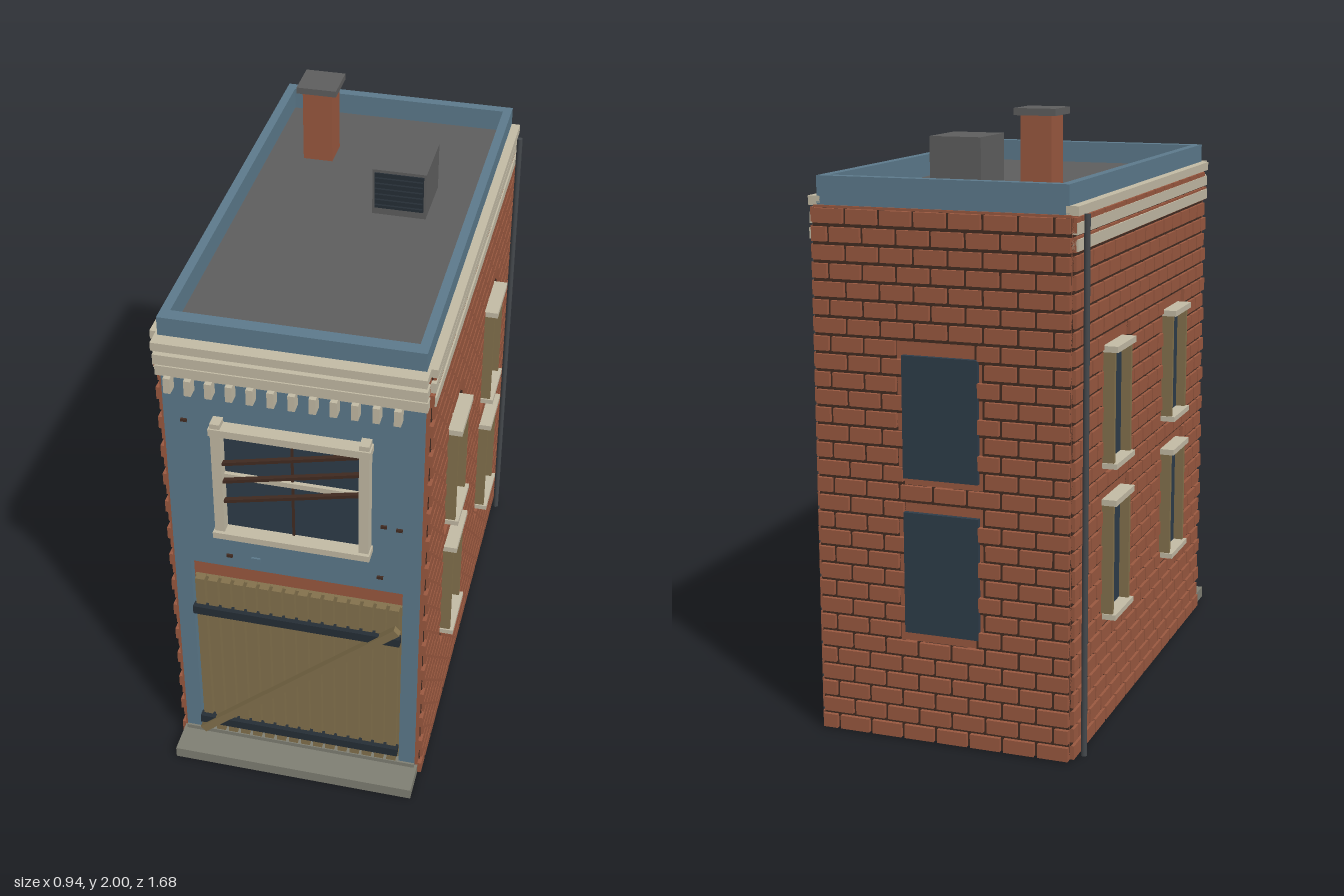
import * as THREE from 'three';
import { mergeGeometries } from 'three/addons/utils/BufferGeometryUtils.js';

const GAP = 0.012;

const mat = (name, color) => {
  const m = new THREE.MeshStandardMaterial({ color });
  m.name = name;
  return m;
};

// Box given by its min and max on each axis
function boxGeo(x0, x1, y0, y1, z0, z1) {
  return new THREE.BoxGeometry(x1 - x0, y1 - y0, z1 - z0)
    .translate((x0 + x1) / 2, (y0 + y1) / 2, (z0 + z1) / 2);
}

// Flat bar on the facade running between two points
function barGeo(xa, ya, xb, yb, width, z0, z1) {
  return new THREE.BoxGeometry(Math.hypot(xb - xa, yb - ya), width, z1 - z0)
    .rotateZ(Math.atan2(yb - ya, xb - xa))
    .translate((xa + xb) / 2, (ya + yb) / 2, (z0 + z1) / 2);
}

// Brick rectangles [u0, u1, y0, y1] in running bond, kept clear of the openings
function brickCourses(uMin, uMax, openings, pads) {
  const pitch = 0.057, length = 0.113, out = [];
  for (let row = 0; row < 30; row++) {
    const y0 = row * pitch + 0.004, y1 = y0 + pitch - GAP;
    const pad = pads[row % 2];
    const blocked = openings.filter(o => y1 > o[2] - 0.01 && y0 < o[3] + 0.01);
    for (let u = uMin - (row % 2) * length / 2; u < uMax; u += length) {
      let a = Math.max(u, uMin), b = Math.min(u + length - GAP, uMax);
      for (const o of blocked) {
        const lo = o[0] - pad, hi = o[1] + pad;
        if (a >= lo && b <= hi) b = a;
        else if (a < lo && b > lo) b = lo;
        else if (a < hi && b > hi) a = hi;
      }
      if (b - a > 0.025) out.push([a, b, y0, y1]);
    }
  }
  return out;
}

// Mortar behind each brick, reaching over the joints beside and below it
const mortarBeds = (bricks, uMax) => bricks.map(([a, b, y0, y1]) =>
  [a, Math.min(b + GAP, uMax), Math.max(y0 - GAP, 0.004), y1]);

export function createModel() {
  const model = new THREE.Group();
  model.name = 'building';
  const brick = mat('brick red', 0x9b5940);
  const blue = mat('painted blue', 0x5d7b8d);
  const trim = mat('stone trim', 0xc4bca6);
  const glass = mat('window glass', 0x2e3d4a);
  const wood = mat('weathered wood', 0x84724d);
  const iron = mat('dark iron', 0x262e36);
  const roofing = mat('roof grey', 0x5f5f5f);
  const stone = mat('step stone', 0x808074);
  const pipe = mat('pipe grey', 0x45494d);
  const dark = mat('dark brown', 0x432c22);

  const add = (name, material, ...geos) => {
    const mesh = new THREE.Mesh(geos.length > 1 ? mergeGeometries(geos) : geos[0], material);
    mesh.name = name;
    model.add(mesh);
  };

  // Core walls and floor slab
  add('walls', brick, boxGeo(-0.42, 0.42, 0.004, 1.71, -0.822, 0.70));
  add('floorSlab', stone, boxGeo(-0.41, 0.41, 0, 0.004, -0.81, 0.72));

  // Side and back brickwork
  const zRanges = [[0.185, 0.383], [-0.505, -0.307]];
  const yRanges = [[0.365, 0.76], [0.87, 1.26]];
  const sideOpenings = zRanges.flatMap(z => yRanges.map(y => [...z, ...y]));
  const backOpenings = yRanges.map(y => [-0.125, 0.125, ...y]);
  const sideBricks = brickCourses(-0.815, 0.72, sideOpenings, [0.03, 0.06]);
  const backBricks = brickCourses(-0.42, 0.42, backOpenings, [0, 0]);
  for (const s of [-1, 1]) {
    const layer = (list, depth) => list.map(([a, b, y0, y1]) =>
      boxGeo(s * (0.41 + depth / 2) - depth / 2, s * (0.41 + depth / 2) + depth / 2, y0, y1, a, b));
    add(s > 0 ? 'leftBricks' : 'rightBricks', brick, ...layer(sideBricks, 0.023));
    add('sideMortar', dark, ...layer(mortarBeds(sideBricks, 0.70), 0.013));
    add('frontCorner', brick, boxGeo(s * 0.414 - 0.006, s * 0.414 + 0.006, 0.004, 1.71, 0.69, 0.72));
  }
  add('backBricks', brick, ...backBricks.map(([a, b, y0, y1]) => boxGeo(a, b, y0, y1, -0.84, -0.81)));
  add('backMortar', dark, ...mortarBeds(backBricks, 0.42)
    .map(([a, b, y0, y1]) => boxGeo(a, b, y0, y1, -0.826, -0.81)));
  for (const [y0, y1] of yRanges)
    add('backWindow', glass, boxGeo(-0.125, 0.125, y0, y1, -0.838, -0.815));

  // Side windows with jambs, lintels and sills
  for (const s of [-1, 1]) for (const [z0, z1] of zRanges) for (const [y0, y1] of yRanges) {
    const slab = (a, b, ...rest) => boxGeo(Math.min(s * a, s * b), Math.max(s * a, s * b), ...rest);
    add('sideGlass', glass, slab(0.41, 0.426, y0, y1, z0 + 0.012, z1 - 0.012));
    add('sideJambs', wood,
      slab(0.41, 0.458, y0, y1, z0 + 0.002, z0 + 0.018),
      slab(0.41, 0.458, y0, y1, z1 - 0.018, z1 - 0.002));
    add('sideLintelAndSill', trim,
      slab(0.41, 0.47, y1 - 0.015, y1 + 0.005, z0 - 0.003, z1 + 0.003),
      slab(0.41, 0.47, y0 - 0.003, y0 + 0.015, z0 - 0.003, z1 + 0.003));
  }

  // Blue front facade around the gate opening
  add('facade', blue,
    boxGeo(-0.41, -0.355, 0.04, 0.845, 0.69, 0.73),
    boxGeo(0.355, 0.41, 0.04, 0.845, 0.69, 0.73),
    boxGeo(-0.41, 0.41, 0.845, 1.735, 0.69, 0.73));
  add('facadeChips', dark, ...[[-0.345, 1.43], [0.29, 1.12], [0.34, 1.115], [-0.22, 0.895],
    [0.28, 0.905]].map(([x, y]) => boxGeo(x - 0.01, x + 0.01, y - 0.005, y + 0.005, 0.73, 0.737)));
  add('facadePatch', blue, boxGeo(-0.146, -0.116, 0.888, 0.902, 0.73, 0.737));

  // Plank gate with iron straps and diagonal brace
  const planks = [];
  for (let i = 0; i < 16; i++) {
    const x = -0.35 + i * 0.04375;
    planks.push(boxGeo(x + 0.006, x + 0.038, 0.058, 0.77, 0.705, 0.735));
  }
  add('gatePlanks', wood, ...planks);
  add('gateBacking', wood, boxGeo(-0.35, 0.35, 0.058, 0.767, 0.69, 0.712));
  add('gateStraps', iron, boxGeo(-0.352, 0.352, 0.626, 0.658, 0.725, 0.752),
    boxGeo(-0.352, 0.352, 0.1, 0.132, 0.725, 0.752));
  add('gateBrace', wood, barGeo(-0.343, 0.072, 0.343, 0.695, 0.028, 0.735, 0.76));

  // Front window
  add('frontGlass', glass, boxGeo(-0.225, 0.225, 1.02, 1.43, 0.728, 0.736));
  add('frontWindowFrame', trim,
    boxGeo(-0.25, -0.218, 1.0, 1.46, 0.73, 0.773),
    boxGeo(0.218, 0.25, 1.0, 1.46, 0.73, 0.773),
    boxGeo(-0.255, 0.255, 1.417, 1.443, 0.73, 0.778),
    boxGeo(-0.255, 0.255, 1.01, 1.033, 0.73, 0.785),
    boxGeo(-0.22, 0.22, 1.235, 1.253, 0.73, 0.75));
  add('frontMullion', dark, boxGeo(-0.004, 0.004, 1.033, 1.417, 0.73, 0.742));
  add('windowBoards', dark, ...[1.3, 1.23, 1.15].map(y =>
    barGeo(-0.23, y, 0.225, y + 0.11, 0.011, 0.752, 0.768)));

  // Stepped cornice with dentils
  const bands = [[1.708, 1.737, 0.44, 0.775], [1.652, 1.687, 0.436, 0.765], [1.603, 1.638, 0.438, 0.752]];
  for (const [y0, y1, x, z] of bands)
    add('corniceBand', trim,
      boxGeo(-0.42, 0.42, y0, y1, 0.70, z),
      boxGeo(-x, -0.40, y0, y1, -0.815, 0.715),
      boxGeo(0.40, x, y0, y1, -0.815, 0.715));
  add('dentils', trim, ...Array.from({ length: 12 }, (_, i) => {
    const x = -0.38 + i * 0.0648;
    return boxGeo(x - 0.011, x + 0.011, 1.55, 1.605, 0.725, 0.768);
  }));

  // Parapet and roof
  add('parapet', blue,
    boxGeo(-0.41, 0.41, 1.70, 1.8, 0.685, 0.73),
    boxGeo(-0.41, 0.41, 1.70, 1.8, -0.815, -0.78),
    boxGeo(-0.41, -0.38, 1.70, 1.8, -0.78, 0.685),
    boxGeo(0.38, 0.41, 1.70, 1.8, -0.78, 0.685));
  add('roof', roofing, boxGeo(-0.385, 0.385, 1.70, 1.725, -0.785, 0.69));

  // Chimney
  add('chimney', brick, boxGeo(-0.257, -0.155, 1.72, 1.98, -0.535, -0.425));
  add('chimneyCap', roofing, boxGeo(-0.275, -0.138, 1.978, 2.0, -0.55, -0.412));

  // Rooftop vent unit with louvres
  add('ventUnit', roofing, boxGeo(0.055, 0.235, 1.72, 1.89, -0.335, -0.12));
  add('ventGrille', iron, boxGeo(0.063, 0.227, 1.75, 1.88, -0.121, -0.116));
  add('ventLouvres', iron, ...Array.from({ length: 6 }, (_, i) =>
    boxGeo(0.065, 0.225, 1.757 + i * 0.02, 1.765 + i * 0.02, -0.118, -0.107)));

  // Drainpipes near the back corners
  for (const s of [-1, 1])
    add('drainpipe', pipe, new THREE.CylinderGeometry(0.01, 0.01, 1.71, 8)
      .translate(s * 0.449, 0.855, -0.763));

  // Front step and threshold
  add('frontStep', stone, boxGeo(-0.42, 0.42, 0, 0.04, 0.70, 0.84));
  add('threshold', stone, boxGeo(-0.41, 0.41, 0.04, 0.056, 0.70, 0.737));
  return model;
}
